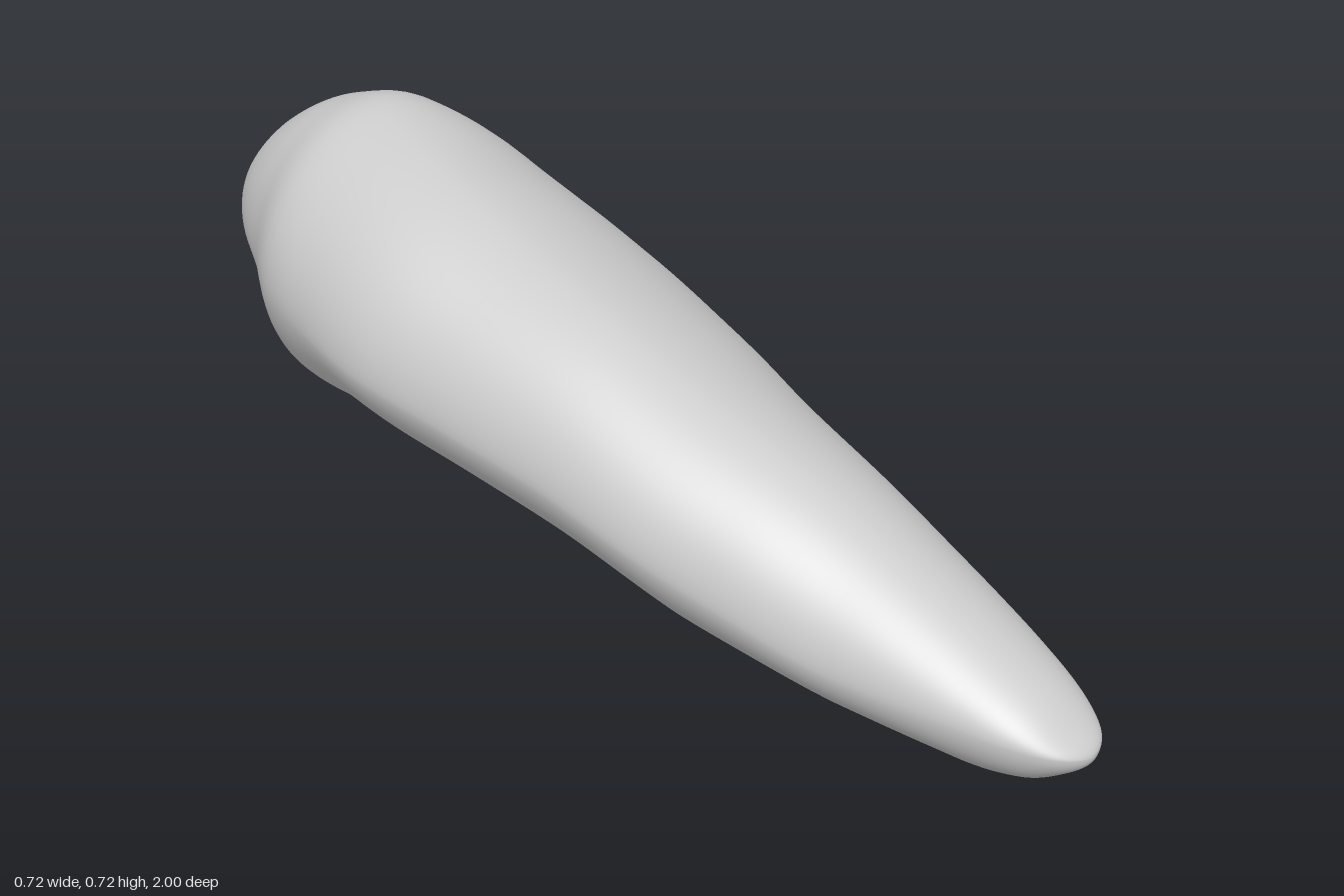
import * as THREE from 'three';

// Extremes of the cross-section along the length, as [z, value] pairs
const TOP = [[-1, .47], [-.985, .53], [-.95, .58], [-.9, .63], [-.8, .69], [-.69, .72], [-.6, .71], [-.4, .67],
  [-.2, .615], [0, .56], [.2, .49], [.4, .42], [.6, .335], [.8, .245], [.9, .195], [.97, .145], [1, .11]];
const BOTTOM = [[-1, .47], [-.985, .41], [-.95, .36], [-.9, .325], [-.85, .295], [-.8, .25], [-.77, .18], [-.74, .14],
  [-.68, .11], [-.6, .09], [-.4, .075], [-.2, .055], [0, .035], [.2, .014], [.3, .003], [.8, .004], [.9, .025], [.97, .07], [1, .11]];
const RIGHT = [[-1, -.04], [-.985, .035], [-.95, .082], [-.86, .137], [-.76, .18], [-.7, .22], [-.61, .295],
  [-.53, .333], [-.4, .357], [-.25, .355], [0, .322], [.2, .275], [.4, .235], [.6, .19], [.8, .14], [.9, .105], [.97, .063], [1, 0]];
const LEFT = [[-1, -.04], [-.985, -.11], [-.95, -.155], [-.9, -.195], [-.8, -.25], [-.69, -.315], [-.6, -.337], [-.4, -.36],
  [-.2, -.342], [0, -.318], [.2, -.297], [.4, -.255], [.6, -.203], [.8, -.145], [.9, -.11], [.97, -.065], [1, 0]];
// Where those extremes sit across the section
const RIGHT_Y = [[-1, .47], [-.85, .48], [-.75, .46], [-.65, .36], [-.5, .28], [-.3, .255], [0, .21], [.6, .13], [1, .11]];
const LEFT_Y = [[-1, .47], [-.7, .44], [-.4, .4], [0, .34], [.4, .23], [.6, .175], [1, .11]];
const TOP_X = [[-1, -.04], [-.7, -.015], [-.4, -.07], [0, -.085], [.6, -.03], [1, 0]];
const BOTTOM_X = [[-1, -.04], [-.85, -.04], [-.74, -.02], [-.6, .08], [-.45, .16], [-.2, .13], [0, .1], [.3, .06], [.6, .03], [1, 0]];
// Fullness of each quarter: 2 is an ellipse, less is flatter, more is boxier
const TOP_RIGHT = [[-1, 2], [-.75, 2.1], [-.6, 1.9], [-.4, 1.7], [0, 1.65], [.6, 1.8], [1, 2]];
const TOP_LEFT = [[-1, 2], [-.4, 1.9], [.4, 1.9], [1, 2]];
const BOTTOM_RIGHT = [[-1, 2], [-.7, 1.95], [-.5, 2.1], [0, 2.1], [1, 2]];
const BOTTOM_LEFT = [[-1, 2], [-.74, 1.9], [-.45, 1.65], [0, 1.6], [.6, 1.75], [1, 2]];

// Monotone cubic through the pairs, measured in angle so that both ends close round
function sampler(keys) {
  const u = keys.map(k => Math.acos(-k[0])), v = keys.map(k => k[1]), n = u.length;
  const d = v.slice(1).map((y, i) => (y - v[i]) / (u[i + 1] - u[i]));
  const m = v.map((_, i) => i === 0 ? d[0] : i === n - 1 ? d[n - 2]
    : d[i - 1] * d[i] <= 0 ? 0 : 2 * d[i - 1] * d[i] / (d[i - 1] + d[i]));
  return a => {
    let i = 0;
    while (i < n - 2 && a > u[i + 1]) i++;
    const h = u[i + 1] - u[i], t = (a - u[i]) / h, t2 = t * t, t3 = t2 * t;
    return (2 * t3 - 3 * t2 + 1) * v[i] + (t3 - 2 * t2 + t) * h * m[i]
      + (3 * t2 - 2 * t3) * v[i + 1] + (t3 - t2) * h * m[i + 1];
  };
}

// Loft of rings made from four quarter arcs, each with its own fullness
function bodyGeometry(rings = 110, sides = 80) {
  const curves = [TOP, BOTTOM, RIGHT, LEFT, RIGHT_Y, LEFT_Y, TOP_X, BOTTOM_X,
    TOP_RIGHT, TOP_LEFT, BOTTOM_RIGHT, BOTTOM_LEFT].map(sampler);
  const positions = [], index = [];
  for (let i = 0; i <= rings; i++) {
    const u = Math.PI * i / rings, z = -Math.cos(u);
    const [top, bottom, right, left, rightY, leftY, topX, bottomX,
      topRight, topLeft, bottomRight, bottomLeft] = curves.map(f => f(u));
    for (let j = 0; j < sides; j++) {
      const a = 2 * Math.PI * j / sides, s = Math.sin(a), c = Math.cos(a);
      const isRight = s >= 0, isTop = c >= 0;
      const n = isTop ? (isRight ? topRight : topLeft) : (isRight ? bottomRight : bottomLeft);
      const ps = Math.abs(s) ** (2 / n), pc = Math.abs(c) ** (2 / n);
      const cx = isTop ? topX : bottomX, cy = isRight ? rightY : leftY;
      const ex = isRight ? right : left, ey = isTop ? top : bottom;
      positions.push(cx + (ex - cx) * ps, cy + (ey - cy) * pc, z);
      if (i < rings) {
        const k = (j + 1) % sides, p = i * sides + j, q = i * sides + k;
        index.push(p, p + sides, q, q, p + sides, q + sides);
      }
    }
  }
  const geometry = new THREE.BufferGeometry();
  geometry.setAttribute('position', new THREE.Float32BufferAttribute(positions, 3));
  geometry.setIndex(index);
  geometry.computeVertexNormals();
  return geometry;
}

export function createModel() {
  const group = new THREE.Group();
  group.name = 'taperedStone';
  const grey = new THREE.MeshStandardMaterial({ color: 0xcccccc });
  grey.name = 'plain grey';
  const body = new THREE.Mesh(bodyGeometry(), grey);
  body.name = 'stoneBody';
  group.add(body);
  return group;
}
